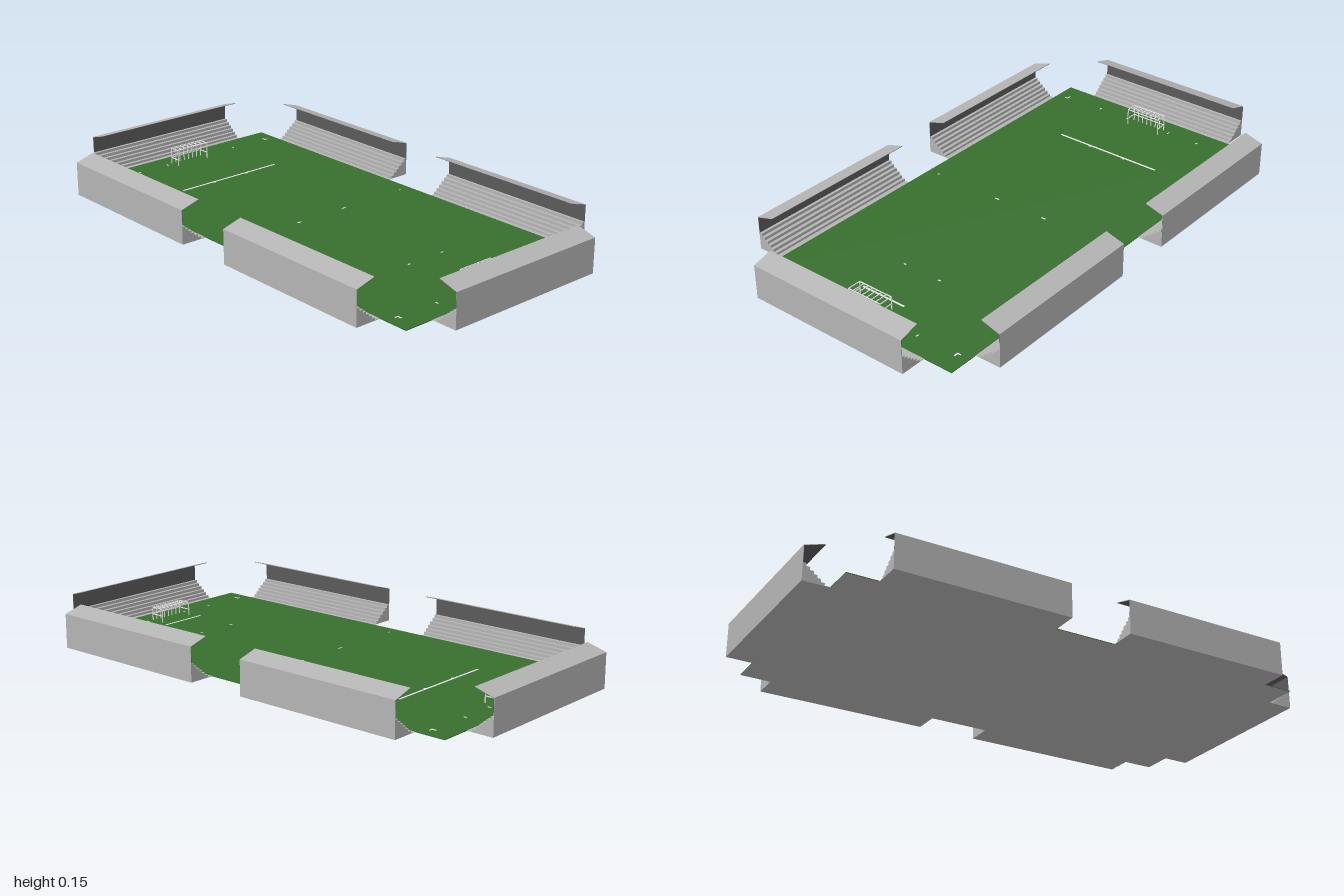
import * as THREE from 'three';

const mat = (name, color, side = THREE.FrontSide) => {
  const m = new THREE.MeshStandardMaterial({ color, side });
  m.name = name;
  return m;
};

export function createModel() {
  const grey = mat('concrete grey', 0xb4b4b4);
  const dark = mat('shaded lining', 0x5a5a5a);
  const green = mat('grass green', 0x386f2f);
  const white = mat('line white', 0xf2f2f2);
  const model = new THREE.Group();
  model.name = 'stadium';

  const box = (parent, name, material, w, h, d, x, y, z) => {
    const mesh = new THREE.Mesh(new THREE.BoxGeometry(w, h, d), material);
    mesh.name = name;
    mesh.position.set(x, y, z);
    parent.add(mesh);
    return mesh;
  };

  // Pitch slab: grass on top, bare concrete underneath
  box(model, 'pitch', [green, green, green, grey, green, green], 0.9, 0.003, 1.8, 0, 0.0015, 0);

  // Stand cross-sections: x runs inward from the outer wall, y is up
  const length = 0.665;
  const extrude = (points) => {
    const shape = new THREE.Shape(points.map(([x, y]) => new THREE.Vector2(x, y)));
    const g = new THREE.ExtrudeGeometry(shape, { depth: length, bevelEnabled: false });
    return g.translate(0, 0, -length / 2);
  };
  const steps = 6, run = 0.08 / steps, rise = 0.066 / steps;
  const terrace = [[0, 0], [0.1, 0], [0.1, 0.002], [0.08, 0.002]];
  for (let i = 0; i < steps; i++) {
    terrace.push([0.08 - i * run, (i + 1) * rise], [0.08 - (i + 1) * run, (i + 1) * rise]);
  }
  const standParts = [
    ['terrace', grey, extrude(terrace)],
    ['wallAndRoof', grey, extrude([[0, 0], [0.001, 0], [0.001, 0.129], [0.075, 0.151], [0.075, 0.1525], [0, 0.1305]])],
    ['innerLining', dark, extrude([[0.001, 0.06], [0.002, 0.06], [0.002, 0.128], [0.075, 0.15], [0.075, 0.151], [0.001, 0.129]])],
  ];
  const addStand = (name, x, z, turn) => {
    const stand = new THREE.Group();
    stand.name = name;
    for (const [part, material, geometry] of standParts) {
      const mesh = new THREE.Mesh(geometry, material);
      mesh.name = part;
      stand.add(mesh);
    }
    stand.position.set(x, 0, z);
    stand.rotation.y = turn;
    model.add(stand);
  };
  for (const z of [-0.45, 0.45]) {
    const end = z > 0 ? 'Front' : 'Back';
    addStand('rightStand' + end, -0.55, z, 0);
    addStand('leftStand' + end, 0.55, z, Math.PI);
  }
  addStand('backStand', 0, -1, -Math.PI / 2);
  addStand('frontStand', 0, 1, Math.PI / 2);

  // Goals: posts, crossbar and a coarse net cage
  const t = 0.003;
  for (const s of [-1, 1]) {
    const goal = new THREE.Group();
    goal.name = s > 0 ? 'frontGoal' : 'backGoal';
    const w = 0.145, h = s > 0 ? 0.056 : 0.068;
    const near = s > 0 ? 0.77 : 0.787, far = s > 0 ? 0.824 : 0.832;
    const depth = far - near, mid = s * (near + far) / 2;
    box(goal, 'crossbar', white, w, t, t, 0, h, s * near);
    box(goal, 'rearBar', white, w, t, t, 0, h, s * far);
    for (let i = 0; i < 8; i++) {
      const x = -w / 2 + i * w / 7;
      box(goal, 'roofNetBar', white, t, t, depth, x, h, mid);
      box(goal, 'rearNetBar', white, t, h, t, x, h / 2, s * far);
    }
    for (const x of [-w / 2, w / 2]) {
      box(goal, 'post', white, t, h, t, x, h / 2, s * near);
      box(goal, 'sideNetBar', white, t, t, depth, x, 0.028, mid);
    }
    box(goal, 'rearNetRail', white, w, t, t, 0, 0.028, s * far);
    model.add(goal);
  }

  // Painted pitch markings
  const mark = (name, w, d, x, z) => box(model, name, white, w, 0.001, d, x, 0.0033, z);
  mark('penaltyAreaLine', 0.455, 0.008, 0, -0.546);
  mark('goalAreaLine', 0.19, 0.008, -0.004, 0.73);
  for (const x of [-1, 1]) {
    mark('centreCircleMark', 0.018, 0.006, x * 0.11, 0);
    mark('halfwayMark', 0.008, 0.005, x * 0.402, 0);
    for (const z of [-1, 1]) {
      mark('cornerMark', 0.006, 0.02, x * 0.4, z * 0.82);
      mark('cornerMark', 0.012, 0.005, x * 0.407, z * 0.813);
      mark('penaltyArcMark', 0.01, 0.006, x * 0.08, z * 0.54);
      for (const px of [0.1, 0.235]) mark('goalLineMark', 0.005, 0.012, x * px, z * 0.823);
    }
  }
  return model;
}
